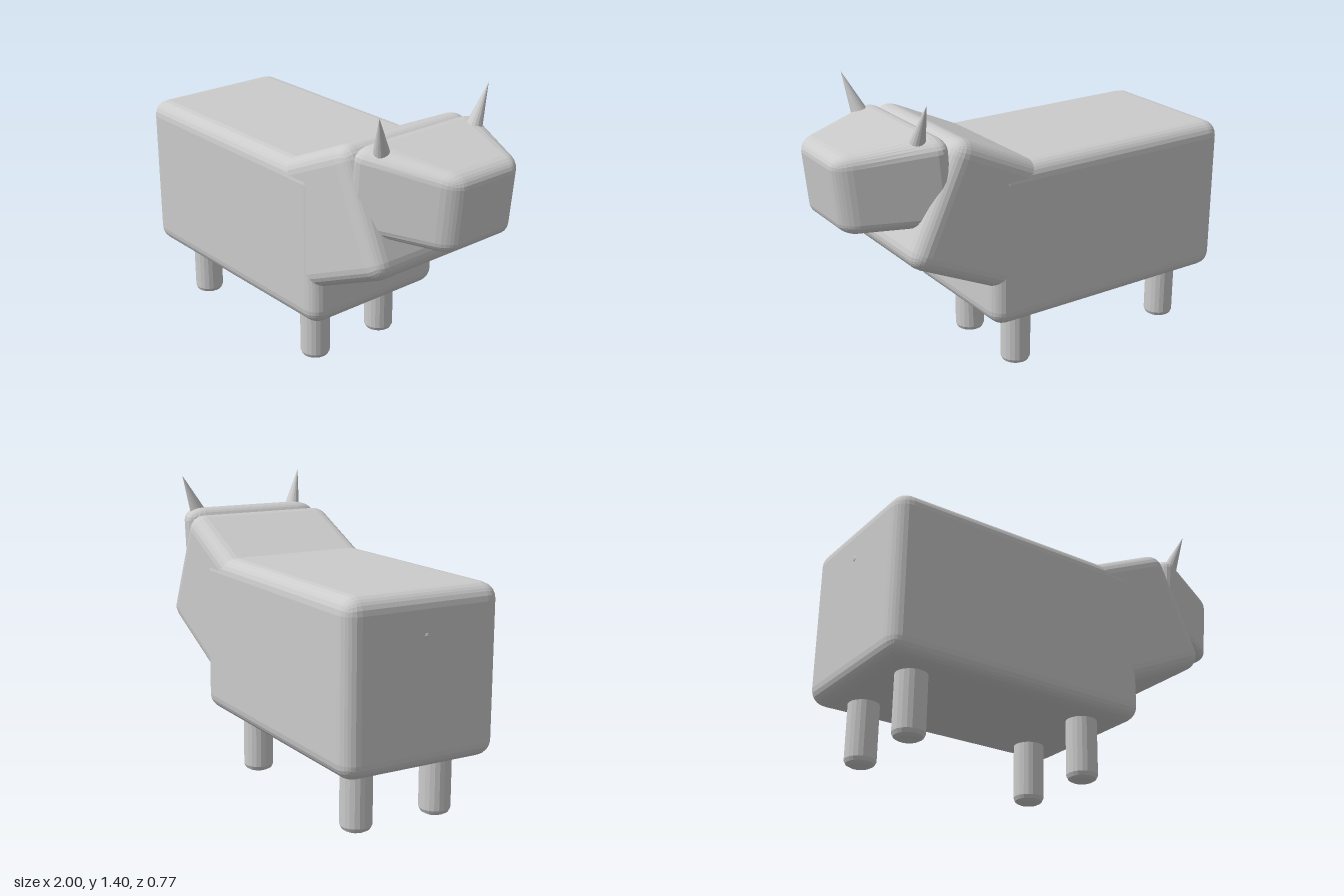
import * as THREE from 'three';
import { RoundedBoxGeometry } from 'three/addons/geometries/RoundedBoxGeometry.js';

export function createModel() {
  const model = new THREE.Group();
  const material = new THREE.MeshStandardMaterial({ color: 0xcccccc, flatShading: true });

  const add = (name, geometry) => {
    const mesh = new THREE.Mesh(geometry, material);
    mesh.name = name;
    model.add(mesh);
    return mesh;
  };

  // Body: long rounded block
  add('body', new RoundedBoxGeometry(1.325, 0.77, 0.772, 3, 0.075)).position.set(-0.333, 0.672, 0);

  // Neck: rounded block tilted upwards, its back end inside the body
  const neck = add('neck', new RoundedBoxGeometry(0.72, 0.605, 0.768, 3, 0.075));
  const tilt = THREE.MathUtils.degToRad(25);
  const along = 0.62, across = 0.61;
  neck.position.set(
    along * Math.cos(tilt) - across * Math.sin(tilt),
    along * Math.sin(tilt) + across * Math.cos(tilt), 0);
  neck.rotation.z = tilt;

  // Head: rounded block narrowing to the muzzle, leaning slightly forward
  const headGeometry = new RoundedBoxGeometry(1, 1, 1, 3, 0.15);
  const p = headGeometry.attributes.position;
  for (let i = 0; i < p.count; i++) {
    const t = p.getX(i) + 0.5;
    const y = 0.828 + (p.getY(i) + 0.5) * THREE.MathUtils.lerp(0.422, 0.352, t);
    const halfWidth = THREE.MathUtils.lerp(0.388, 0.185, t);
    p.setXYZ(i, 0.495 + 0.475 * t + 0.09 * (y - 0.828), y, p.getZ(i) * 2 * halfWidth);
  }
  headGeometry.computeVertexNormals();
  add('head', headGeometry);

  // Horns: thin cones from the base centre to the tip
  const horn = (name, base, tip) => {
    const from = new THREE.Vector3(...base);
    const axis = new THREE.Vector3(...tip).sub(from);
    const height = axis.length();
    const mesh = add(name, new THREE.ConeGeometry(0.04, height, 16).translate(0, height / 2, 0));
    mesh.position.copy(from);
    mesh.quaternion.setFromUnitVectors(new THREE.Vector3(0, 1, 0), axis.normalize());
  };
  horn('hornNear', [0.637, 1.205, 0.275], [0.692, 1.4, 0.342]);
  horn('hornFar', [0.647, 1.205, -0.26], [0.645, 1.4, -0.347]);

  // Legs: cylinders with a bevelled foot, rising into the body
  const legProfile = [[0, 0], [0.048, 0], [0.064, 0.009], [0.072, 0.026], [0.072, 0.36], [0, 0.36]]
    .map(([r, y]) => new THREE.Vector2(r, y));
  const legGeometry = new THREE.LatheGeometry(legProfile, 20);
  for (const [end, x] of [['rear', -0.795], ['front', 0.108]]) {
    for (const [side, z] of [['Near', 0.205], ['Far', -0.208]]) {
      add(`${end}Leg${side}`, legGeometry).position.set(x, 0, z);
    }
  }

  // Tail stub: almost entirely sunk into the rump
  add('tail', new THREE.SphereGeometry(0.02, 10, 8)).position.set(-0.98, 0.87, 0);

  return model;
}
